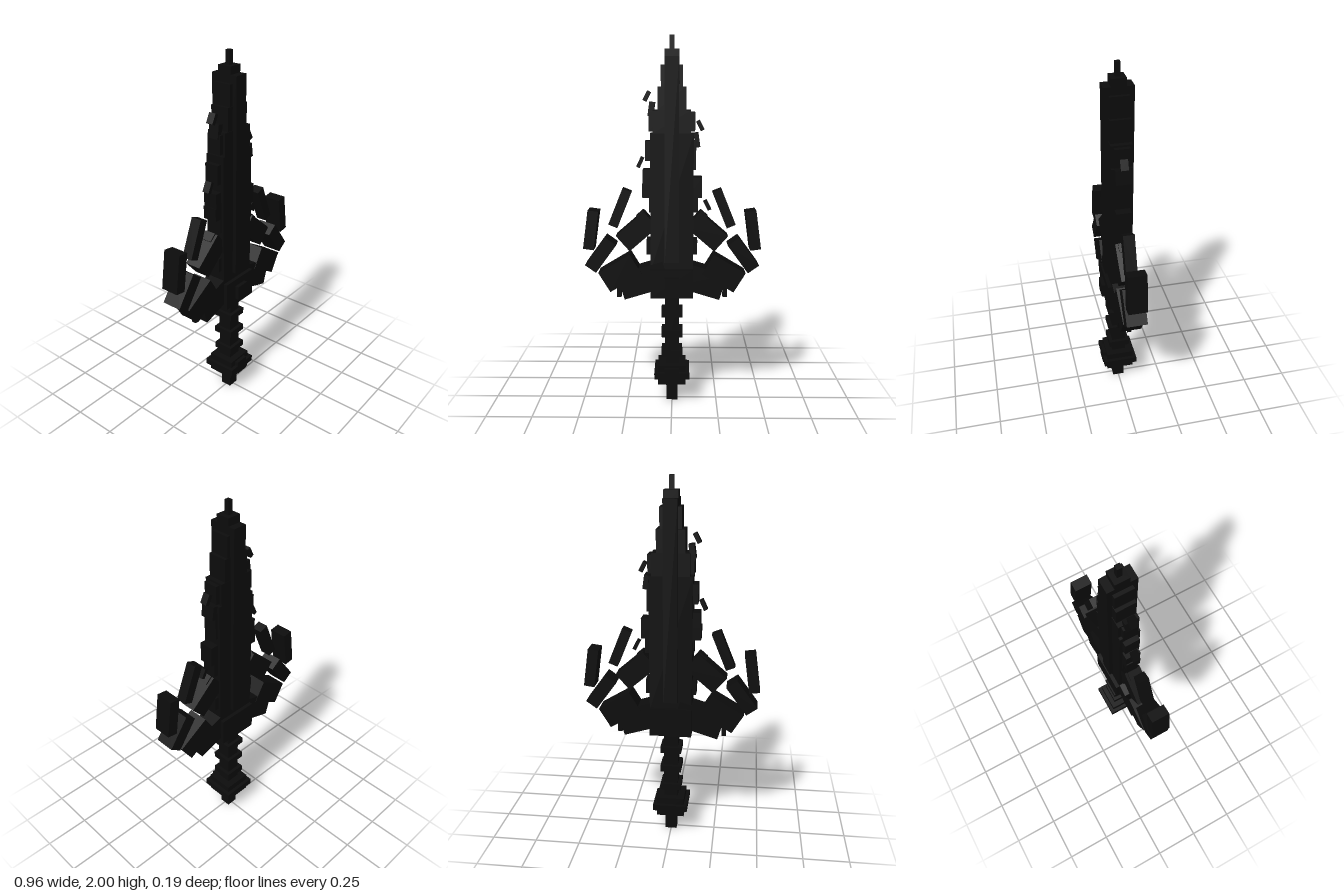
import * as THREE from 'three';

export function createModel() {
  const model = new THREE.Group();
  const black = new THREE.MeshStandardMaterial({ color: 0x0c0c0c });
  black.name = 'black';

  // Box centred at x, y, z with a tilt in degrees about the z axis
  function box(name, w, h, d, x, y, z = 0, tilt = 0) {
    const mesh = new THREE.Mesh(new THREE.BoxGeometry(w, h, d), black);
    mesh.name = name;
    mesh.position.set(x, y, z);
    mesh.rotation.z = THREE.MathUtils.degToRad(tilt);
    model.add(mesh);
  }
  // Upright box between two heights, centred on the axis
  const block = (name, w, d, y0, y1) => box(name, w, y1 - y0, d, 0, (y0 + y1) / 2);

  // Handle and pommel
  block('pommelTip', 0.064, 0.064, 0, 0.1);
  block('pommel', 0.155, 0.155, 0.11, 0.222);
  block('pommelRim', 0.194, 0.194, 0.15, 0.185);
  box('pommelStud', 0.08, 0.08, 0.03, 0, 0.17, 0.082);
  block('grip', 0.078, 0.078, 0.2, 0.63);
  for (const y of [0.285, 0.4, 0.515]) block('gripRing', 0.116, 0.116, y - 0.018, y + 0.018);

  // Guard
  block('guard', 0.23, 0.152, 0.612, 0.77);
  box('guardStud', 0.08, 0.08, 0.03, 0, 0.69, 0.082);

  // Blade: stepped body with a thicker central ridge
  block('bladeBase', 0.23, 0.11, 0.76, 1.5);
  block('bladeMiddle', 0.2, 0.11, 1.5, 1.62);
  block('bladeUpper', 0.15, 0.105, 1.62, 1.74);
  block('bladeTop', 0.114, 0.1, 1.74, 1.85);
  block('bladeCap', 0.076, 0.076, 1.85, 1.93);
  block('bladePoint', 0.026, 0.026, 1.93, 2);
  block('bladeRidge', 0.076, 0.152, 0.81, 1.89);

  // Jagged teeth along both edges: side, reach, bottom, top
  const teeth = [
    [-1, 0.122, 1.51, 1.61], [1, 0.122, 1.51, 1.61],
    [-1, 0.142, 1.355, 1.46], [1, 0.128, 1.31, 1.46],
    [-1, 0.16, 1.16, 1.23], [-1, 0.155, 1.23, 1.31],
    [1, 0.16, 1.16, 1.27], [1, 0.14, 1.08, 1.16], [-1, 0.122, 1.08, 1.16],
    [-1, 0.137, 0.85, 0.93], [1, 0.137, 0.85, 0.93],
  ];
  for (const [side, reach, y0, y1] of teeth) {
    box('edgeTooth', 0.08, y1 - y0, 0.08, side * (reach - 0.04), (y0 + y1) / 2);
  }

  // Loose splinters beside the blade
  box('splinter', 0.022, 0.055, 0.04, -0.132, 1.692, 0, -27);
  box('splinter', 0.03, 0.075, 0.06, -0.108, 1.625, 0, -8);
  box('splinter', 0.02, 0.058, 0.04, -0.169, 1.346, 0, -25);
  box('splinter', 0.022, 0.055, 0.04, 0.15, 1.54, 0, 27);
  box('splinter', 0.025, 0.075, 0.08, 0.132, 1.465, 0, 8);
  box('splinter', 0.02, 0.055, 0.04, 0.19, 1.115, 0, 27);

  // Mirrored wings curling up from the guard
  for (const s of [-1, 1]) {
    const wing = (name, w, h, d, x, y, tilt) => box(name, w, h, d, s * x, y, 0, -s * tilt);
    wing('wingRoot', 0.26, 0.145, 0.11, 0.155, 0.705, 17);
    wing('wingArm', 0.2, 0.125, 0.114, 0.282, 0.746, 31);
    wing('wingForearm', 0.19, 0.073, 0.11, 0.386, 0.847, 54);
    wing('wingTip', 0.213, 0.058, 0.1, 0.437, 0.983, 82);
    wing('innerSpike', 0.212, 0.052, 0.06, 0.28, 1.1, 68);
    wing('innerArm', 0.2, 0.112, 0.09, 0.19, 0.975, 41);
    wing('shoulderChip', 0.05, 0.06, 0.06, 0.155, 1.05, 41);
    wing('hangingPeg', 0.025, 0.13, 0.025, 0.292, 0.665, 0);
  }

  return model;
}
